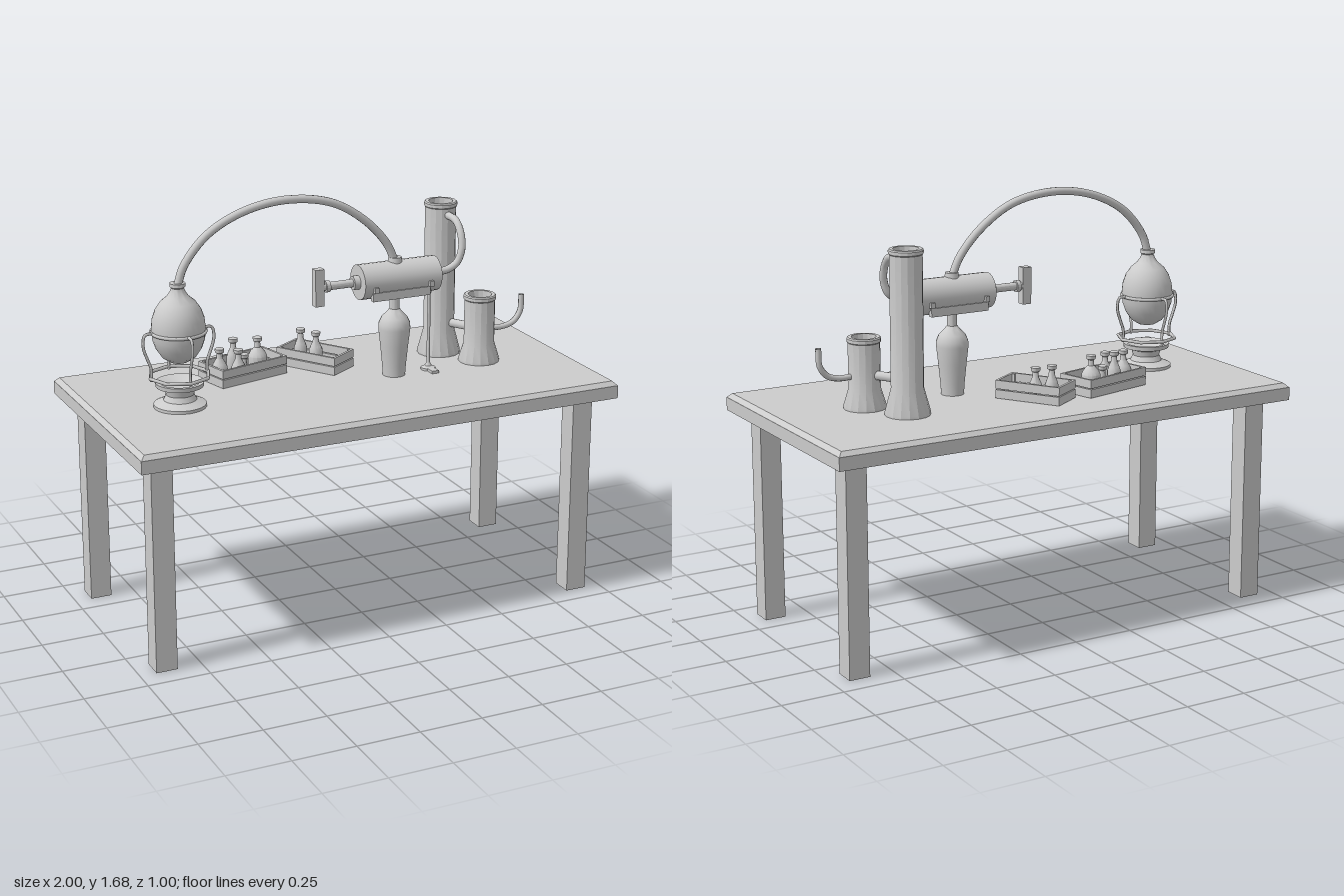
import * as THREE from 'three';
import { toCreasedNormals } from 'three/addons/utils/BufferGeometryUtils.js';

const mat = new THREE.MeshStandardMaterial({ color: 0xcccccc, side: THREE.DoubleSide });
const TOP = 0.905; // table surface height
const AXIS_Z = 0.04; // depth of the distilling line

function add(parent, name, geo, x = 0, y = 0, z = 0) {
  const m = new THREE.Mesh(geo, mat);
  m.name = name;
  m.position.set(x, y, z);
  parent.add(m);
  return m;
}
const box = (w, h, d) => new THREE.BoxGeometry(w, h, d);
// Turned shape from [radius, height] pairs, bottom to top
function lathe(pts, seg = 20, crease = 0.6) {
  const g = new THREE.LatheGeometry(pts.map(([r, y]) => new THREE.Vector2(r, y)), seg);
  return toCreasedNormals(g, crease);
}
function tube(pts, r, seg = 32, sides = 8) {
  const curve = new THREE.CatmullRomCurve3(pts.map((p) => new THREE.Vector3(...p)));
  return new THREE.TubeGeometry(curve, seg, r, sides);
}
function group(parent, name, x = 0, y = 0, z = 0) {
  const g = new THREE.Group();
  g.name = name;
  g.position.set(x, y, z);
  parent.add(g);
  return g;
}

function buildTable(root) {
  const table = group(root, 'table');
  // Slab with a chamfered upper edge
  const outline = new THREE.Shape();
  [[-1, -0.5], [1, -0.5], [1, 0.5], [-1, 0.5]].forEach(([x, y], i) => (i ? outline.lineTo(x, y) : outline.moveTo(x, y)));
  add(table, 'tableSlab', box(2, 0.052, 1), 0, 0.863, 0);
  const chamfer = new THREE.CylinderGeometry(Math.SQRT1_2, Math.SQRT1_2, 0.018, 4, 1).rotateY(Math.PI / 4).toNonIndexed();
  const p = chamfer.attributes.position;
  for (let i = 0; i < p.count; i++) {
    const inset = p.getY(i) > 0 ? 0.018 : 0;
    p.setX(i, p.getX(i) * 2 * (1 - inset));
    p.setZ(i, p.getZ(i) * (1 - inset * 2));
  }
  chamfer.computeVertexNormals();
  add(table, 'tableChamfer', chamfer, 0, 0.897, 0);
  for (const x of [-0.892, 0.892])
    for (const z of [-0.373, 0.373]) add(table, 'tableLeg', box(0.085, 0.84, 0.085), x, 0.42, z);
}

function buildBoiler(root) {
  const g = group(root, 'boiler', -0.67, 0, AXIS_Z - 0.003);
  add(g, 'pedestal', lathe([[0, TOP], [0.102, TOP], [0.102, 0.918], [0.064, 0.934], [0.054, 0.955], [0.06, 0.978],
    [0.092, 0.988], [0.094, 1.005], [0.08, 1.005], [0.05, 0.985], [0, 0.985]], 24));
  add(g, 'bulb', lathe([[0, 1.08], [0.035, 1.086], [0.065, 1.105], [0.088, 1.14], [0.1, 1.175], [0.104, 1.215], [0.1, 1.255],
    [0.088, 1.29], [0.068, 1.32], [0.042, 1.342], [0.03, 1.36], [0.024, 1.375], [0.03, 1.38], [0.03, 1.394], [0, 1.394]], 28));
  add(g, 'bulbBand', new THREE.TorusGeometry(0.104, 0.007, 6, 28).rotateX(Math.PI / 2), 0, 1.205, 0);
  add(g, 'standRing', new THREE.TorusGeometry(0.118, 0.007, 6, 8).rotateX(Math.PI / 2), 0, 1.03, 0);
  // Four bent wire arms
  for (let i = 0; i < 4; i++) {
    const arm = add(g, 'standArm', tube([[0.1, 1.207, 0], [0.135, 1.205, 0], [0.143, 1.16, 0], [0.128, 1.11, 0],
      [0.114, 1.07, 0], [0.114, 1.02, 0]], 0.006, 20, 6));
    arm.rotation.y = (i * Math.PI) / 2;
  }
  add(root, 'arcHose', tube([[-0.67, 1.385], [-0.645, 1.455], [-0.55, 1.565], [-0.4, 1.64], [-0.22, 1.667], [-0.03, 1.635],
    [0.115, 1.545], [0.205, 1.445], [0.24, 1.37]].map(([x, y]) => [x, y, AXIS_Z]), 0.016, 48, 10));
}

function buildCondenser(root) {
  const g = group(root, 'condenser', 0, 1.305, AXIS_Z);
  const rod = (name, x0, x1, r, seg = 16) =>
    add(g, name, toCreasedNormals(new THREE.CylinderGeometry(r, r, x1 - x0, seg).rotateZ(Math.PI / 2), 0.6), (x0 + x1) / 2, 0, 0);
  rod('barrel', 0.08, 0.415, 0.07, 20);
  rod('plungerCollar', 0.055, 0.08, 0.028);
  rod('plungerRod', -0.075, 0.06, 0.016);
  rod('plungerEndCollar', -0.062, -0.045, 0.023);
  rod('outletCollar', 0.415, 0.432, 0.022);
  add(g, 'plungerHandle', box(0.038, 0.148, 0.034), -0.09, 0, 0);
  // Rails and bolts beneath the barrel
  for (const s of [-1, 1]) {
    add(g, 'barrelRail', box(0.25, 0.034, 0.022), 0.24, -0.051, s * 0.055);
    for (const x of [0.125, 0.365]) add(g, 'barrelBolt', box(0.016, 0.022, 0.022), x, -0.02, s * 0.07);
  }
  add(g, 'inletCollar', new THREE.CylinderGeometry(0.026, 0.03, 0.03, 16), 0.24, 0.07, 0);

  add(root, 'receivingFlask', lathe([[0, TOP], [0.045, TOP], [0.048, 0.95], [0.056, 1.03], [0.064, 1.1], [0.063, 1.12],
    [0.052, 1.145], [0.032, 1.165], [0.02, 1.18], [0.02, 1.24]], 20), 0.24, 0, AXIS_Z);

  // Slim prop carrying the outlet end of the barrel
  add(root, 'propRod', lathe([[0.03, TOP], [0.03, 0.915], [0.014, 0.922], [0.007, 0.935], [0.006, 1.22], [0.012, 1.235], [0.012, 1.25]], 12), 0.393, 0, AXIS_Z);
  add(root, 'propFoot', box(0.03, 0.012, 0.05), 0.393, TOP + 0.006, AXIS_Z + 0.04);
}

// Open vessel with a flared foot, a rim and a recessed inside
function vessel(root, name, x, z, h, r, foot, flareTop) {
  add(root, name, lathe([[0, TOP], [foot, TOP], [foot, TOP + 0.012], [r, flareTop], [r, h - 0.022], [r + 0.004, h - 0.018],
    [r + 0.004, h - 0.005], [r, h], [r - 0.014, h], [r - 0.016, h - 0.03], [r - 0.016, TOP + 0.03], [0, TOP + 0.03]], 16, 0.35), x, 0, z);
}

function buildVessels(root) {
  vessel(root, 'tower', 0.538, -0.148, 1.542, 0.063, 0.088, 1.01);
  vessel(root, 'cup', 0.633, 0.022, 1.185, 0.062, 0.083, 0.985);
  add(root, 'cupSpout', tube([[0.68, 1.035, 0.022], [0.745, 1.035, 0.022], [0.79, 1.05, 0.022], [0.82, 1.09, 0.022],
    [0.825, 1.16, 0.022]], 0.012, 24));
  add(root, 'linkPipe', tube([[0.565, 1.04, -0.1], [0.61, 1.04, -0.02]], 0.018, 4, 10));
  add(root, 'outletPipe', tube([[0.41, 1.308, 0.04], [0.47, 1.31, 0.04], [0.515, 1.335, 0.04], [0.536, 1.39, 0.04],
    [0.54, 1.45, 0.02], [0.54, 1.488, -0.02], [0.54, 1.495, -0.1]], 0.015, 40, 10));
}

// Slatted crate: floor plus two boards on each side
function crate(root, name, x, z, turn, w, d) {
  const g = group(root, name, x, TOP, z);
  g.rotation.y = turn;
  add(g, 'crateFloor', box(w - 0.01, 0.012, d - 0.01), 0, 0.008, 0);
  for (const y of [0.02, 0.058])
    for (const s of [-1, 1]) {
      add(g, 'crateLongBoard', box(w, 0.034, 0.01), 0, y, s * (d / 2 - 0.005));
      add(g, 'crateEndBoard', box(0.01, 0.034, d - 0.02), s * (w / 2 - 0.005), y, 0);
    }
  for (const sx of [-1, 1])
    for (const sz of [-1, 1]) add(g, 'cratePost', box(0.012, 0.07, 0.012), sx * (w / 2 - 0.014), 0.038, sz * (d / 2 - 0.014));
}

// Small stoppered bottle with radius r, reaching height h
function bottle(root, x, z, r, h) {
  add(root, 'bottle', lathe([[0, TOP + 0.014], [r * 0.9, TOP + 0.014], [r, TOP + 0.03], [r, h - 0.078], [r * 0.8, h - 0.062],
    [0.013, h - 0.042], [0.011, h - 0.02], [0.018, h - 0.016], [0.019, h - 0.002], [0.014, h], [0, h]], 14), x, 0, z);
}

export function createModel() {
  const root = new THREE.Group();
  root.name = 'laboratoryTable';
  buildTable(root);
  buildBoiler(root);
  buildCondenser(root);
  buildVessels(root);
  crate(root, 'wideCrate', -0.315, -0.19, 0.24, 0.315, 0.165);
  crate(root, 'narrowCrate', 0, -0.19, -1.0, 0.275, 0.145);
  [[-0.425, -0.163, 0.032, 1.045], [-0.355, -0.138, 0.03, 1.04], [-0.343, -0.222, 0.027, 1.06], [-0.243, -0.21, 0.038, 1.055],
    [-0.31, -0.19, 0.014, 1.0], [-0.035, -0.255, 0.026, 1.05], [0.016, -0.218, 0.028, 1.04]].forEach((b) => bottle(root, ...b));
  return root;
}
